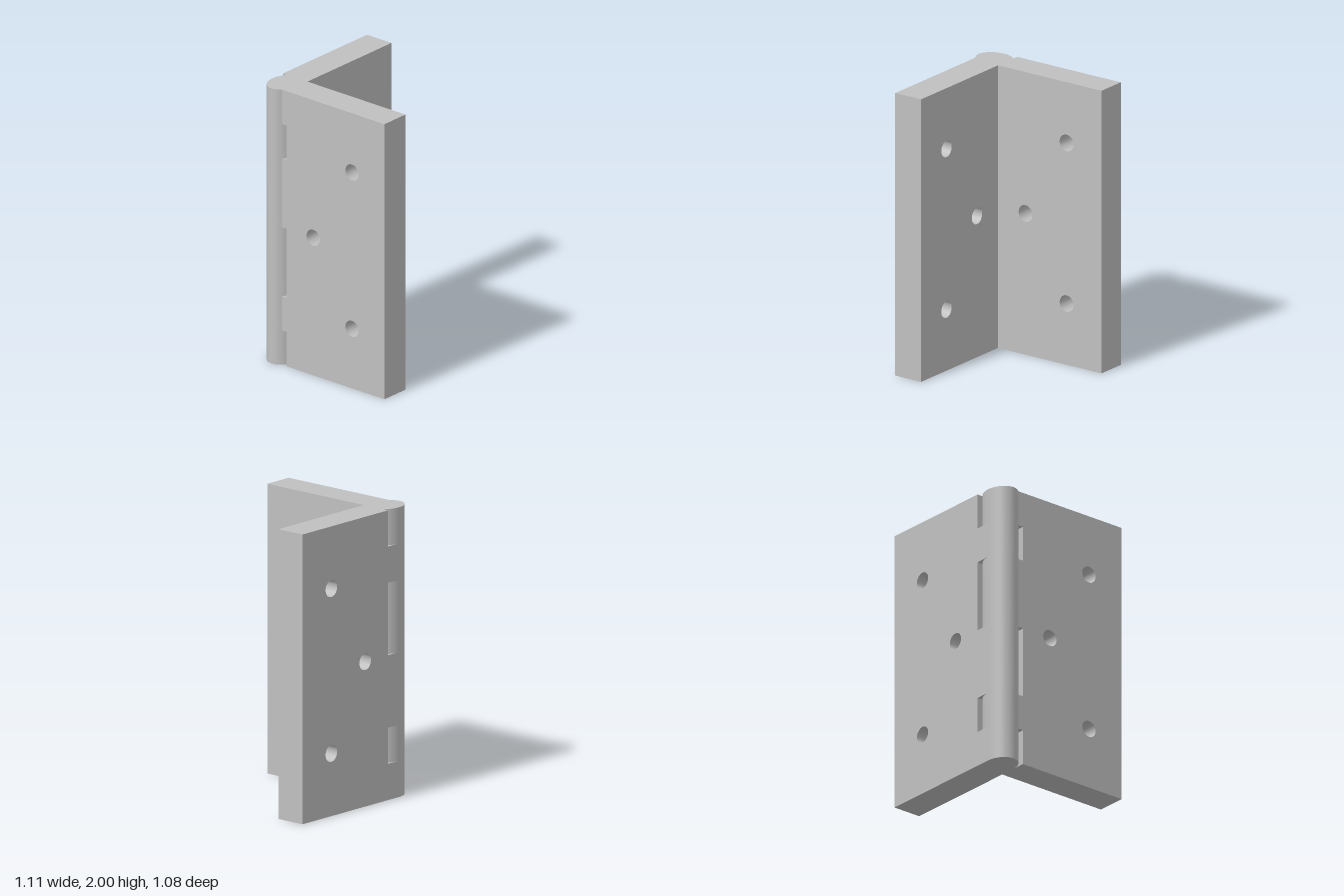
import * as THREE from 'three';
import { toCreasedNormals } from 'three/addons/utils/BufferGeometryUtils.js';

const HEIGHT = 2;
const INNER_X = -0.31, OUTER_X = -0.525, RIGHT_X = 0.553; // side leaf faces, back leaf end
const BACK_Z = -0.538, INNER_Z = -0.323, FRONT_Z = 0.538; // back leaf faces, side leaf end
const HOLE_R = 0.058;

// Barrel ellipse, in plan
const CX = -0.419, CZ = (BACK_Z + INNER_Z) / 2, RX = 0.135, RZ = (INNER_Z - BACK_Z) / 2;

const smooth = (geo) => toCreasedNormals(geo, 0.5);

// Flat leaf with three screw holes, from u0 to u1 along its width
function leafGeometry(u0, u1, holes, depth) {
  const shape = new THREE.Shape();
  shape.moveTo(u0, 0).lineTo(u1, 0).lineTo(u1, HEIGHT).lineTo(u0, HEIGHT).closePath();
  for (const [u, y] of holes) {
    shape.holes.push(new THREE.Path().absarc(u, y, HOLE_R, 0, Math.PI * 2, true));
  }
  return smooth(new THREE.ExtrudeGeometry(shape, { depth, bevelEnabled: false, curveSegments: 32 }));
}

// Plan outline (shape y is -z) of a knuckle rolled from the back leaf
function backKnuckleShape() {
  const s = new THREE.Shape();
  s.moveTo(INNER_X, -INNER_Z).lineTo(INNER_X, -BACK_Z).lineTo(CX, -BACK_Z);
  s.absellipse(CX, -CZ, RX, RZ, Math.PI / 2, Math.PI * 1.5, false);
  return s.closePath();
}

// Plan outline of a knuckle rolled from the side leaf
function sideKnuckleShape() {
  const start = Math.acos((INNER_X - CX) / RX);
  const end = Math.PI * 2 - Math.acos((OUTER_X - CX) / RX);
  const s = new THREE.Shape();
  s.moveTo(OUTER_X, -INNER_Z).lineTo(INNER_X, -INNER_Z);
  s.absellipse(CX, -CZ, RX, RZ, start, end, false);
  return s.closePath();
}

export function createModel() {
  const group = new THREE.Group();
  const steel = new THREE.MeshStandardMaterial({ color: 0xc0c0c0 });
  steel.name = 'steel grey';

  const add = (name, geo) => {
    const mesh = new THREE.Mesh(geo, steel);
    mesh.name = name;
    group.add(mesh);
  };

  // Back leaf
  const back = leafGeometry(INNER_X, RIGHT_X, [[0.262, 1.57], [-0.08, 1], [0.262, 0.433]], INNER_Z - BACK_Z);
  add('backLeaf', back.translate(0, 0, BACK_Z));

  // Side leaf
  const side = leafGeometry(INNER_Z, FRONT_Z, [[0.253, 1.57], [-0.088, 1], [0.253, 0.433]], INNER_X - OUTER_X);
  add('sideLeaf', side.rotateY(-Math.PI / 2).translate(INNER_X, 0, 0));

  // Interleaved knuckles, alternating between leaves from the bottom up
  const levels = [0, 0.25, 0.5, 1, 1.5, 1.75, 2];
  for (let i = 0; i < levels.length - 1; i++) {
    const isBack = i % 2 === 0;
    const geo = new THREE.ExtrudeGeometry(isBack ? backKnuckleShape() : sideKnuckleShape(), {
      depth: levels[i + 1] - levels[i], bevelEnabled: false, curveSegments: 32,
    });
    geo.rotateX(-Math.PI / 2).translate(0, levels[i], 0);
    add(isBack ? 'backKnuckle' : 'sideKnuckle', smooth(geo));
  }

  return group;
}
